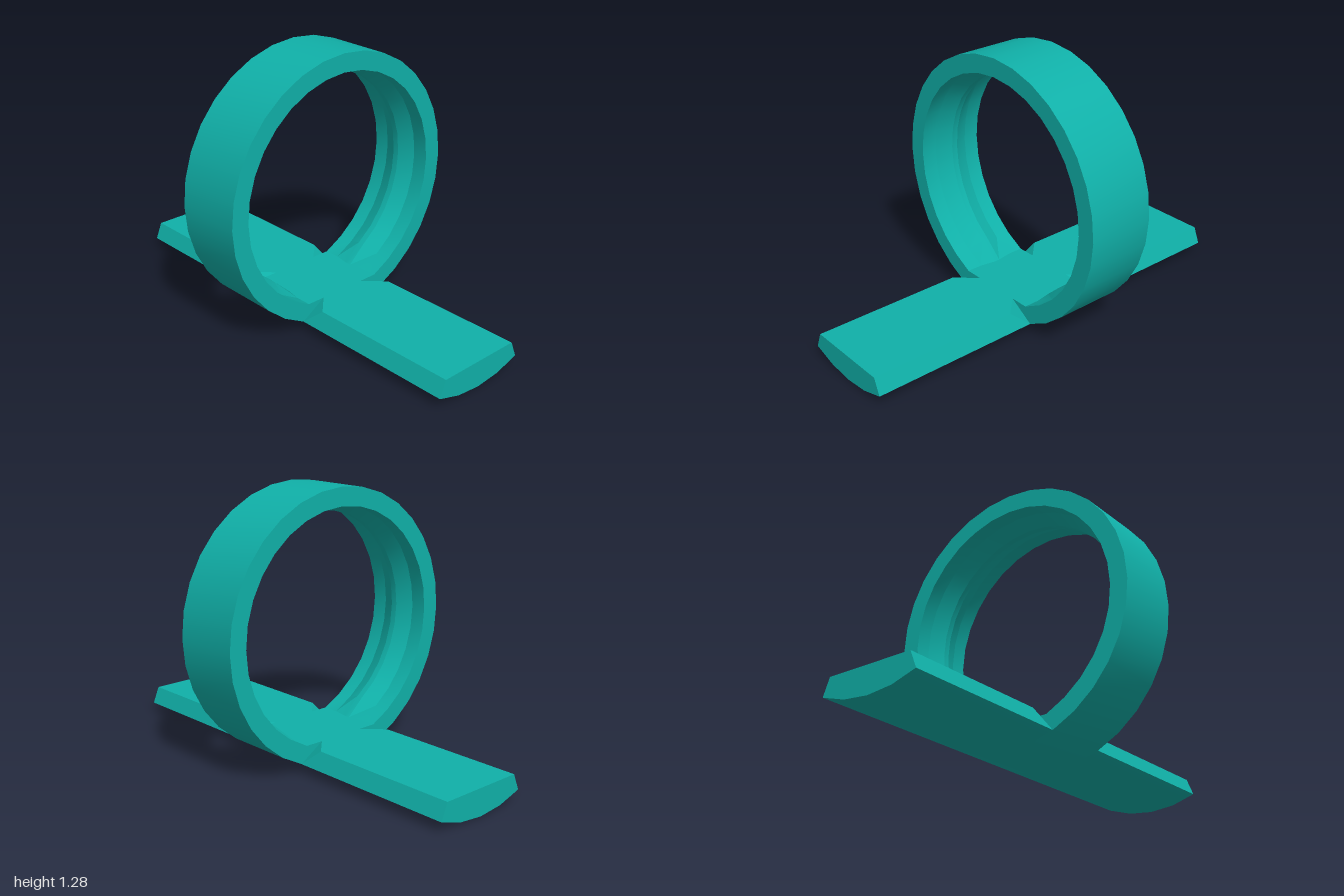
import * as THREE from 'three';
import { toCreasedNormals } from 'three/addons/utils/BufferGeometryUtils.js';
import { ConvexGeometry } from 'three/addons/geometries/ConvexGeometry.js';

const R = 0.638;        // outer radius, also the height of the ring's centre
const SEGMENTS = 32;
const HALF = 0.167;     // half width of the ring
const FLOOR = 0.127;    // height of the flat top of the base

// Point at radius r, k segments round from the bottom
function ringPoint(x, r, k) {
  const a = (k / SEGMENTS) * Math.PI * 2;
  return new THREE.Vector3(x, R - r * Math.cos(a), r * Math.sin(a));
}

// Ring: a closed profile swept round x, its inside flattened at the bottom
function ringGeometry() {
  const profile = [
    [-HALF, R], [HALF, R],
    [HALF, 0.551], [0.09, 0.551], [0.015, 0.516],
    [-0.015, 0.516], [-0.09, 0.551], [-HALF, 0.551],
  ];
  const n = profile.length;
  const positions = [];
  const index = [];
  for (let s = 0; s < SEGMENTS; s++) {
    const k = s > SEGMENTS / 2 ? s - SEGMENTS : s;
    profile.forEach(([x, r]) => {
      const p = ringPoint(x, r, k);
      if (r < R && Math.abs(k) <= 2) p.y = FLOOR;
      positions.push(p.x, p.y, p.z);
    });
    const next = (s + 1) % SEGMENTS;
    for (let i = 0; i < n; i++) {
      const j = (i + 1) % n;
      const a = s * n + i, b = s * n + j, c = next * n + j, d = next * n + i;
      index.push(a, b, c, a, c, d);
    }
  }
  const geometry = new THREE.BufferGeometry();
  geometry.setAttribute('position', new THREE.Float32BufferAttribute(positions, 3));
  geometry.setIndex(index);
  return toCreasedNormals(geometry, 0.35);
}

// Base wing: rounded underneath, flat on top, corners cut away beside the ring
function wingGeometry(side) {
  const points = [];
  for (let k = -2; k <= 2; k++) {
    points.push(ringPoint(side * HALF, R, k), ringPoint(side, R, k));
  }
  for (const z of [-1, 1]) {
    points.push(
      new THREE.Vector3(side, FLOOR, z * 0.212),
      new THREE.Vector3(side * 0.26, FLOOR, z * 0.212),
      new THREE.Vector3(side * HALF, FLOOR, z * 0.12),
    );
  }
  return toCreasedNormals(new ConvexGeometry(points), 0.35);
}

export function createModel() {
  const group = new THREE.Group();
  group.name = 'ringOnBase';
  const material = new THREE.MeshStandardMaterial({ color: 0x10b0a8 });
  const add = (name, geometry) => {
    const mesh = new THREE.Mesh(geometry, material);
    mesh.name = name;
    group.add(mesh);
  };
  add('ring', ringGeometry());
  add('leftWing', wingGeometry(1));
  add('rightWing', wingGeometry(-1));
  return group;
}
